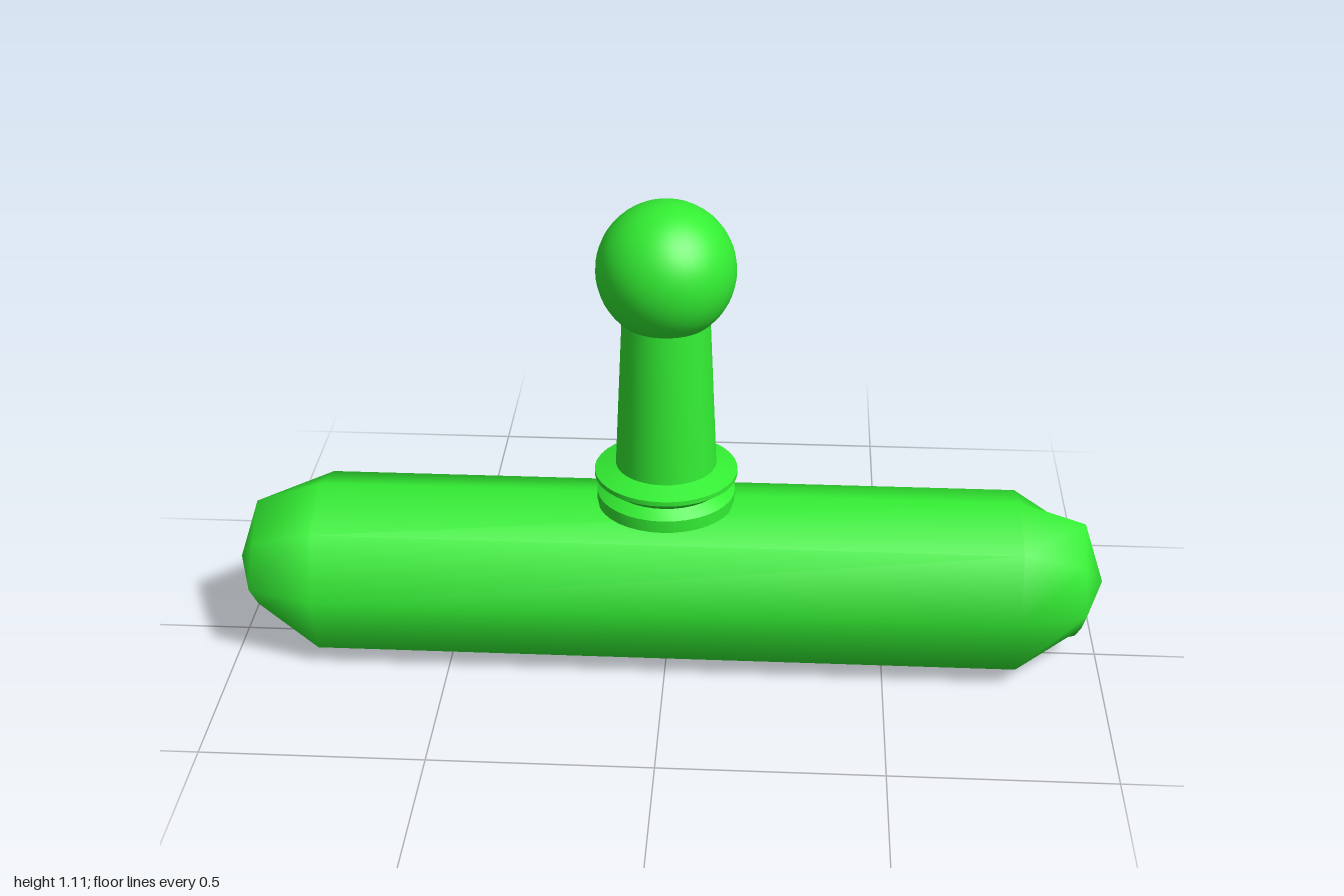
import * as THREE from 'three';
import { mergeVertices, toCreasedNormals } from 'three/addons/utils/BufferGeometryUtils.js';

const material = new THREE.MeshStandardMaterial({ color: 0x33ee33 });

// Eight-sided bar along x: a pole, two rings, two rings, a pole
function barGeometry() {
  const rings = [
    [-1, 0, 0], [-0.95, 0.15, 0.08], [-0.8, 0.2, 0.15],
    [0.8, 0.2, 0.15], [0.95, 0.15, 0.08], [1, 0, 0],
  ];
  const positions = [];
  const index = [];
  rings.forEach(([x, straight, diagonal], i) => {
    for (let k = 0; k < 8; k++) {
      const a = (k * Math.PI) / 4;
      // one corner of the +x end bulges slightly
      const d = i === 4 && k === 5 ? 0.1 : diagonal;
      const r = k % 2 ? d * Math.SQRT2 : straight;
      positions.push(x, 0.2 + r * Math.sin(a), r * Math.cos(a));
    }
  });
  for (let i = 0; i < rings.length - 1; i++) {
    for (let k = 0; k < 8; k++) {
      const a = i * 8 + k;
      const b = i * 8 + ((k + 1) % 8);
      if (i < rings.length - 2) index.push(a, a + 8, b + 8);
      if (i > 0) index.push(a, b + 8, b);
    }
  }
  const geometry = new THREE.BufferGeometry();
  geometry.setAttribute('position', new THREE.Float32BufferAttribute(positions, 3));
  geometry.setIndex(index);
  const merged = mergeVertices(geometry);
  merged.computeVertexNormals();
  return merged;
}

// Turned stem with a double collar and a shallow groove down the back
function stemGeometry() {
  const profile = [
    [0, 0.383], [0.157, 0.383], [0.157, 0.412], [0.132, 0.43],
    [0.162, 0.453], [0.162, 0.464], [0.114, 0.48], [0.098, 0.835], [0, 0.835],
  ].map(([r, y]) => new THREE.Vector2(r, y));
  const geometry = new THREE.LatheGeometry(profile, 36);
  const p = geometry.attributes.position;
  for (let i = 0; i < p.count; i++) {
    const x = p.getX(i);
    const z = p.getZ(i);
    const degrees = THREE.MathUtils.radToDeg(Math.atan2(x, z));
    if (Math.hypot(x, z) > 0.01 && Math.abs(degrees - 165) < 6) {
      p.setXYZ(i, x * 0.93, p.getY(i), z * 0.93);
    }
  }
  return toCreasedNormals(geometry, 0.5);
}

export function createModel() {
  const group = new THREE.Group();
  const add = (name, geometry, x, y, z) => {
    const mesh = new THREE.Mesh(geometry, material);
    mesh.name = name;
    mesh.position.set(x, y, z);
    group.add(mesh);
  };
  add('bar', barGeometry(), 0, 0, 0);
  add('collaredStem', stemGeometry(), -0.004, 0, -0.008);
  add('ballKnob', new THREE.SphereGeometry(0.154, 40, 28), -0.004, 0.951, -0.009);
  return group;
}
